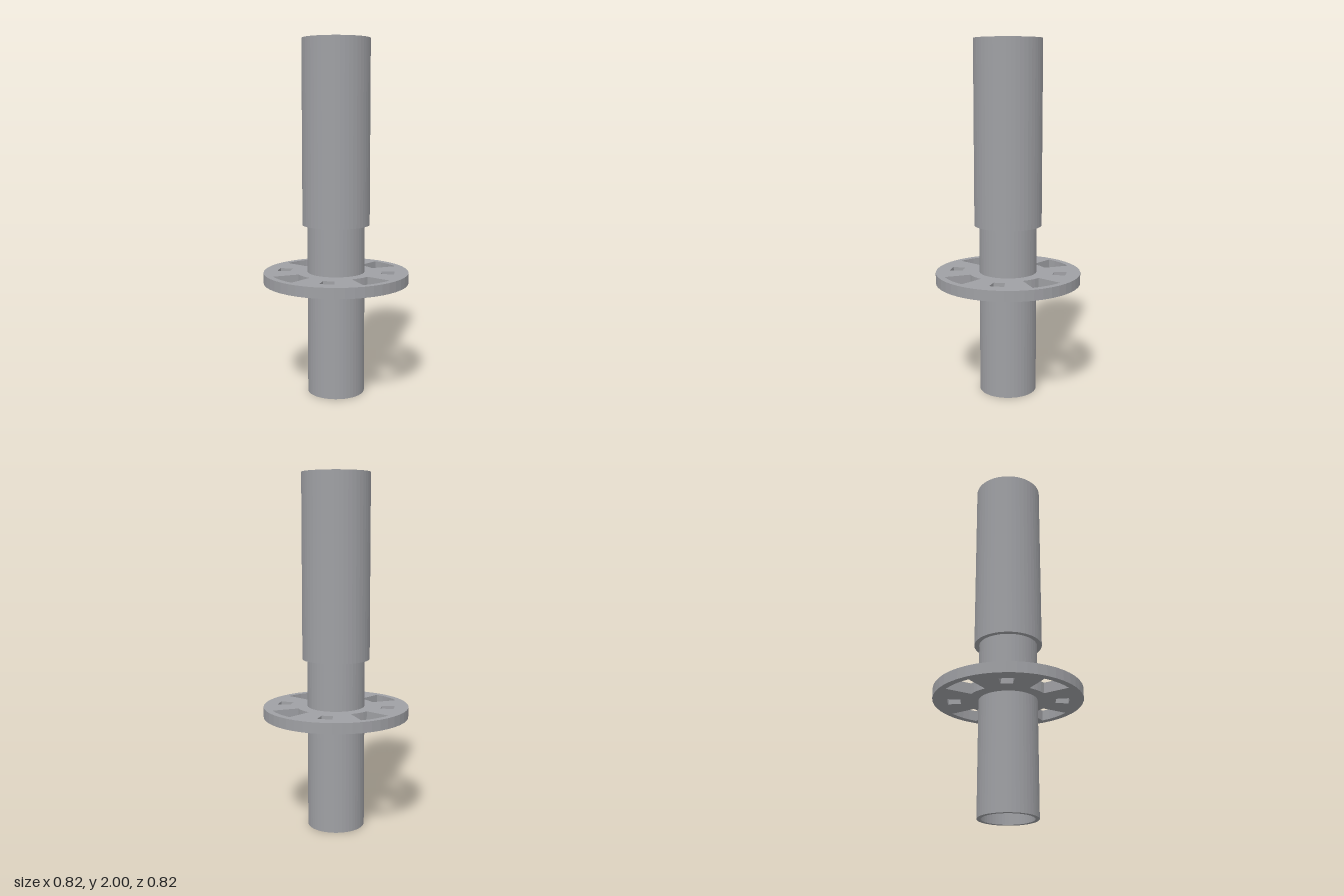
import * as THREE from 'three';

const SIDES = 48;

export function createModel() {
  const group = new THREE.Group();
  const steel = new THREE.MeshStandardMaterial({ color: 0x9fa0a4, flatShading: true });
  steel.name = 'galvanised steel';

  const add = (name, geometry) => {
    const mesh = new THREE.Mesh(geometry, steel);
    mesh.name = name;
    group.add(mesh);
  };

  // Hollow pipe with closed rims, open through the middle
  const pipe = (inner, outer, bottom, top) => new THREE.LatheGeometry(
    [[inner, bottom], [outer, bottom], [outer, top], [inner, top], [inner, bottom]]
      .map(([r, y]) => new THREE.Vector2(r, y)), SIDES);

  // Points along an arc, angles in radians
  const arc = (radius, from, to, steps) => Array.from({ length: steps + 1 }, (_, i) => {
    const a = from + (to - from) * i / steps;
    return new THREE.Vector2(radius * Math.cos(a), radius * Math.sin(a));
  });
  const circle = (radius) => arc(radius, 0, Math.PI * 2, SIDES).slice(0, -1);

  // Pipes
  add('lowerTube', pipe(0.14, 0.162, 0, 1.2));
  add('upperSleeve', pipe(0.163, 0.19, 0.97, 2));

  // Rosette disc: four wide slots on the axes, four small ones on the diagonals
  const disc = new THREE.Shape(circle(0.412));
  disc.holes.push(new THREE.Path(circle(0.16)));
  for (let i = 0; i < 8; i++) {
    const [inner, outer, degrees] = i % 2 ? [0.26, 0.333, 7] : [0.226, 0.375, 14];
    const mid = i * Math.PI / 4;
    const half = THREE.MathUtils.degToRad(degrees);
    disc.holes.push(new THREE.Path([
      ...arc(inner, mid - half, mid + half, 4),
      ...arc(outer, mid + half, mid - half, 4),
    ]));
  }
  const plate = new THREE.ExtrudeGeometry(disc, { depth: 0.06, bevelEnabled: false });
  plate.rotateX(-Math.PI / 2).translate(0, 0.64, 0);
  add('rosetteDisc', plate);

  return group;
}
